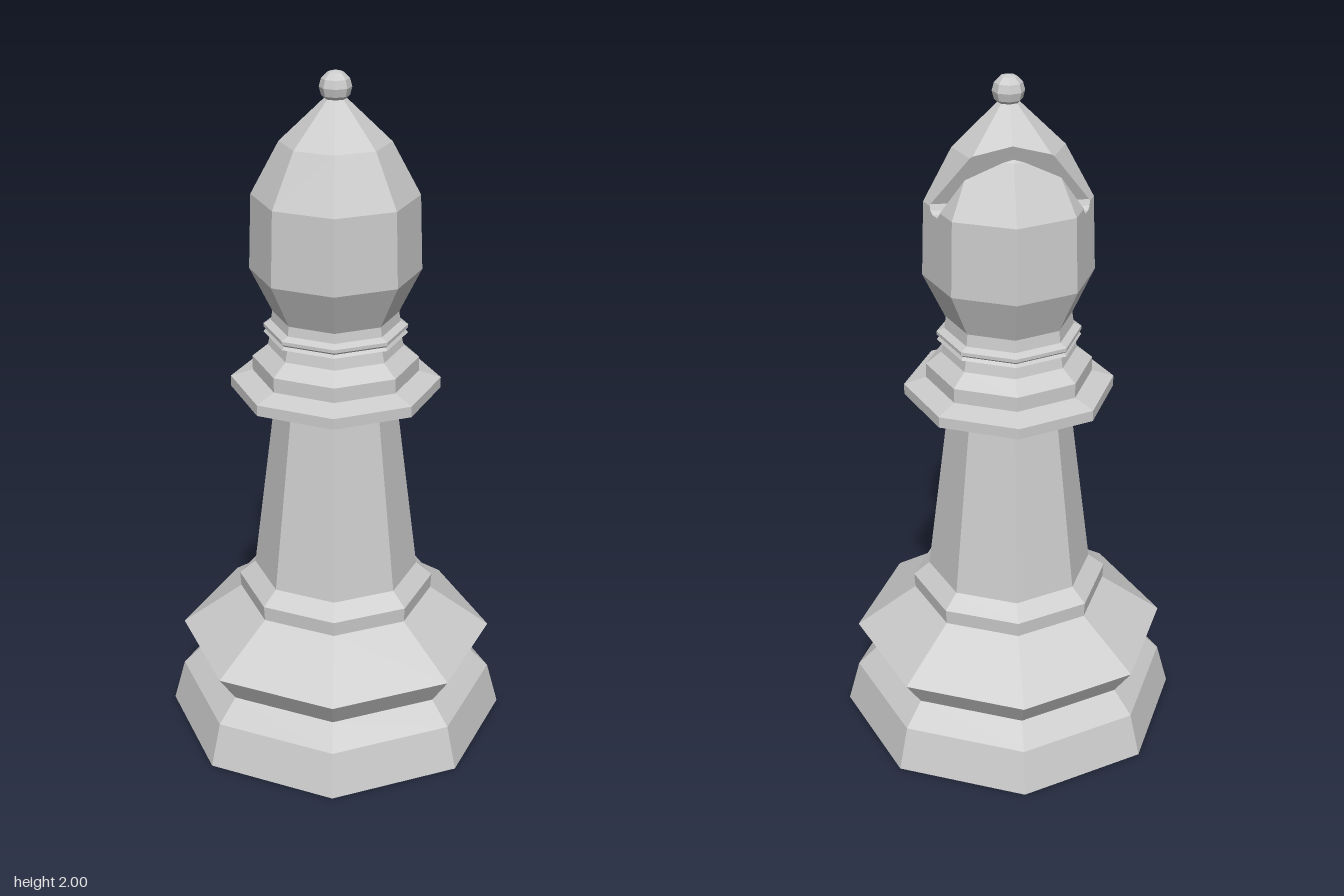
import * as THREE from 'three';

const SIDES = 8;
const material = new THREE.MeshStandardMaterial({ color: 0xcccccc, flatShading: true });

function addMesh(parent, name, geometry) {
  const mesh = new THREE.Mesh(geometry, material);
  mesh.name = name;
  parent.add(mesh);
  return mesh;
}

// Turned octagonal part from [radius, height] pairs, bottom to top
function turned(parent, name, profile) {
  const points = profile.map(([r, y]) => new THREE.Vector2(r, y));
  return addMesh(parent, name, new THREE.LatheGeometry(points, SIDES));
}

const planeOf = (p) => new THREE.Plane().setFromCoplanarPoints(p[0], p[1], p[2]);

// Part of a convex polygon on one side of a plane
function clip(poly, plane, side) {
  const out = [];
  poly.forEach((a, i) => {
    const b = poly[(i + 1) % poly.length];
    const da = plane.distanceToPoint(a) * side;
    const db = plane.distanceToPoint(b) * side;
    if (da >= 0) out.push(a);
    if (da * db < 0) out.push(a.clone().lerp(b, da / (da - db)));
  });
  return out.length > 2 ? out : [];
}

function polygonsToGeometry(polygons) {
  const positions = [];
  for (const p of polygons) {
    for (let i = 1; i < p.length - 1; i++) {
      for (const v of [p[0], p[i], p[i + 1]]) positions.push(v.x, v.y, v.z);
    }
  }
  const geometry = new THREE.BufferGeometry();
  geometry.setAttribute('position', new THREE.Float32BufferAttribute(positions, 3));
  geometry.computeVertexNormals();
  return geometry;
}

// Faceted mitre head with a slanted slot cut right through from side to side
function mitreGeometry() {
  // radius, height, forward lean
  const rings = [
    [0.18, 1.31, 0.006], [0.243, 1.44, 0.012], [0.235, 1.655, 0.013],
    [0.155, 1.805, 0.018], [0.03, 1.925, 0.024],
  ];
  const corner = ([r, y, lean], i) => {
    const a = (i / SIDES) * Math.PI * 2;
    return new THREE.Vector3(r * Math.sin(a), y, r * Math.cos(a) + lean);
  };
  const faces = [];
  for (let k = 0; k < rings.length - 1; k++) {
    for (let i = 0; i < SIDES; i++) {
      faces.push([corner(rings[k], i), corner(rings[k], i + 1),
        corner(rings[k + 1], i + 1), corner(rings[k + 1], i)]);
    }
  }

  // Slot outline as [z, y]: down the front wall, round the bottom, up the back wall
  const outline = [
    [-0.165, 2.0], [-0.025, 1.66], [-0.03, 1.643], [-0.045, 1.635],
    [-0.07, 1.635], [-0.084, 1.65], [-0.178, 2.0],
  ];
  const walls = outline.slice(1).map(([z, y], i) => {
    const [z0, y0] = outline[i];
    return [new THREE.Vector3(-1, y0, z0), new THREE.Vector3(1, y0, z0),
      new THREE.Vector3(1, y, z), new THREE.Vector3(-1, y, z)];
  });

  const result = [];
  // Outer faces without the slot
  for (const face of faces) {
    let rest = face;
    for (const wall of walls) {
      const plane = planeOf(wall);
      result.push(clip(rest, plane, -1));
      rest = clip(rest, plane, 1);
    }
  }
  // Slot walls trimmed to the head
  for (const wall of walls) {
    result.push(faces.reduce((poly, face) => clip(poly, planeOf(face), -1), wall));
  }
  return polygonsToGeometry(result);
}

export function createModel() {
  const piece = new THREE.Group();
  piece.name = 'bishopChessPiece';

  turned(piece, 'base', [
    [0, 0], [0.51, 0], [0.475, 0.13], [0.412, 0.195], [0.47, 0.28], [0.29, 0.41],
  ]);
  turned(piece, 'baseStep', [[0.29, 0.41], [0.293, 0.455], [0.245, 0.495]]);
  turned(piece, 'shaft', [[0.245, 0.495], [0.175, 1.055]]);
  turned(piece, 'collar', [
    [0.175, 1.055], [0.304, 1.075], [0.304, 1.107], [0.24, 1.127],
    [0.24, 1.17], [0.195, 1.205], [0.188, 1.238],
  ]);
  turned(piece, 'neckRing', [
    [0.188, 1.238], [0.207, 1.245], [0.2, 1.254], [0.207, 1.26],
    [0.207, 1.27], [0.185, 1.28], [0.18, 1.315],
  ]);

  addMesh(piece, 'mitreHead', mitreGeometry());

  const finial = addMesh(piece, 'finial', new THREE.SphereGeometry(0.045, SIDES, 6));
  finial.position.set(0, 1.955, 0.025);

  return piece;
}
